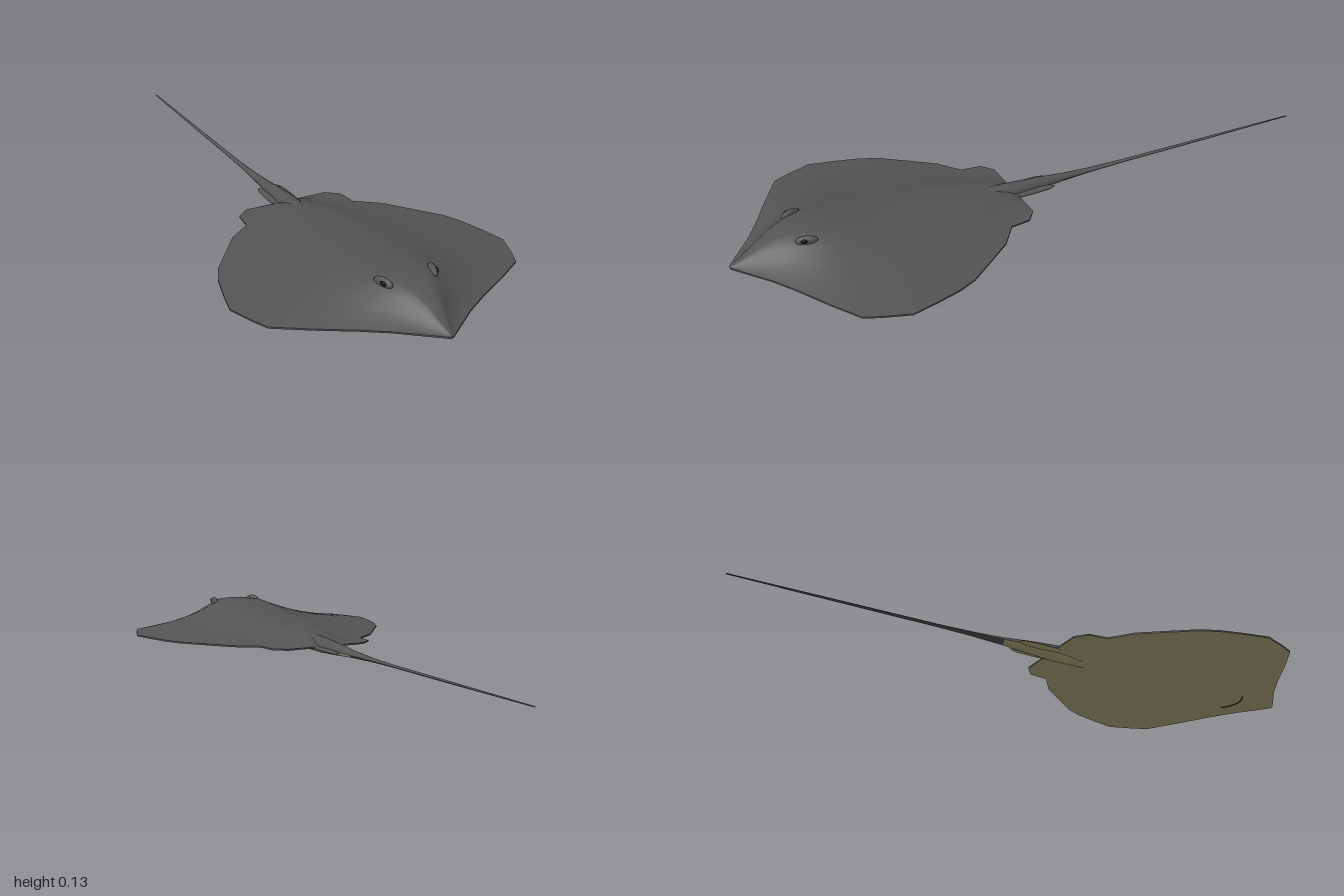
import * as THREE from 'three';

// Stations from nose to rear: [z, half width, top y, bottom y]
const BODY = [
  [1.0, 0.006, 0.041, 0.035], [0.97, 0.045, 0.057, 0.033], [0.91, 0.122, 0.09, 0.027],
  [0.86, 0.2, 0.113, 0.022], [0.8, 0.305, 0.124, 0.015], [0.74, 0.4, 0.124, 0.01],
  [0.69, 0.422, 0.119, 0.005], [0.61, 0.45, 0.108, 0], [0.53, 0.432, 0.101, 0.001],
  [0.45, 0.41, 0.095, 0.004], [0.39, 0.383, 0.09, 0.007], [0.31, 0.322, 0.083, 0.012],
  [0.23, 0.26, 0.076, 0.019], [0.175, 0.187, 0.07, 0.023], [0.11, 0.18, 0.055, 0.028],
  [0.09, 0.155, 0.046, 0.032], [0.078, 0.14, 0.04, 0.036],
];
const TAIL = [
  [0.26, 0.026, 0.074, 0.017], [0.1, 0.032, 0.067, 0.016], [0, 0.024, 0.06, 0.021],
  [-0.1, 0.016, 0.05, 0.027], [-0.2, 0.011, 0.044, 0.031], [-0.33, 0.008, 0.041, 0.033],
  [-0.6, 0.006, 0.04, 0.033], [-1, 0.003, 0.038, 0.035],
];
const CLASPER = [
  [0.1, 0.013, 0.041, 0.03], [0.03, 0.014, 0.042, 0.029], [-0.025, 0.013, 0.041, 0.03],
  [-0.045, 0.009, 0.039, 0.032], [-0.055, 0.001, 0.037, 0.035],
];

// Height profiles across the width, as [u, fraction of full height]
const DOME = [[0, 1], [0.12, 0.99], [0.21, 0.94], [0.3, 0.76], [0.45, 0.49], [0.6, 0.29], [0.8, 0.11], [1, 0]];
const KEEL = [[0, 1], [0.11, 0.94], [0.22, 0.8], [0.44, 0.53], [0.67, 0.28], [0.85, 0.1], [1, 0]];
const ROUND = [0, 0.35, 0.65, 0.88, 1].map((u) => [u, Math.sqrt(1 - u * u)]);

// One skin lofted over the stations, either the upper or the lower half
function skin(stations, profile, upper, rim, cx = 0) {
  const across = [...profile.slice(1).reverse().map(([u, f]) => [-u, f]), ...profile];
  const n = across.length, pos = [], idx = [];
  stations.forEach(([z, w, top, bottom], i) => {
    for (const [u, f] of across) pos.push(cx + u * w, rim + ((upper ? top : bottom) - rim) * f, z);
    if (i === 0) return;
    for (let j = 0; j < n - 1; j++) {
      const a = (i - 1) * n + j, b = a + 1, c = a + n, d = c + 1;
      if (upper) idx.push(a, b, c, b, d, c);
      else idx.push(a, c, b, b, c, d);
    }
  });
  return surface(pos, idx);
}

// Thin band closing the edge between upper and lower skins
function rimBand(stations, yTop, yBottom) {
  const outline = [
    ...stations.map(([z, w]) => [w, z]),
    ...[...stations].reverse().map(([z, w]) => [-w, z]),
  ];
  const pos = [], idx = [];
  outline.forEach(([x, z], i) => {
    pos.push(x, yTop, z, x, yBottom, z);
    const a = i * 2, c = ((i + 1) % outline.length) * 2;
    idx.push(a, a + 1, c, c, a + 1, c + 1);
  });
  return surface(pos, idx);
}

function surface(pos, idx) {
  const g = new THREE.BufferGeometry();
  g.setAttribute('position', new THREE.Float32BufferAttribute(pos, 3));
  g.setIndex(idx);
  g.computeVertexNormals();
  return g;
}

export function createModel() {
  const group = new THREE.Group();
  const mat = (name, color, side = THREE.FrontSide) => {
    const m = new THREE.MeshStandardMaterial({ color, side });
    m.name = name;
    return m;
  };
  const back = mat('slate grey skin', 0x545454, THREE.DoubleSide);
  const belly = mat('pale olive belly', 0xb8b483, THREE.DoubleSide);
  const dark = mat('black detail', 0x101010);
  const add = (name, geometry, material, parent = group) => {
    const m = new THREE.Mesh(geometry, material);
    m.name = name;
    parent.add(m);
    return m;
  };

  // Disc with pelvic fins
  add('discBack', skin(BODY, DOME, true, 0.041), back);
  add('discBelly', skin(BODY, KEEL, false, 0.036), belly);
  add('discRim', rimBand(BODY, 0.041, 0.036), back);

  // Whip tail, pale underneath only near its root
  add('tailTop', skin(TAIL, ROUND, true, 0.037), back);
  add('tailRootUnderside', skin(TAIL.slice(0, 4), ROUND, false, 0.037), belly);
  add('tailTipUnderside', skin(TAIL.slice(3), ROUND, false, 0.037), back);

  for (const s of [1, -1]) {
    const side = s > 0 ? 'left' : 'right';

    // Flat lobes beside the tail root
    add(side + 'ClasperTop', skin(CLASPER, ROUND, true, 0.036, s * 0.031), back);
    add(side + 'ClasperUnderside', skin(CLASPER, ROUND, false, 0.036, s * 0.031), belly);

    // Low eye ridge with a dark pupil facing outward
    const eye = new THREE.Group();
    eye.name = side + 'Eye';
    eye.position.set(s * 0.078, 0.114, 0.785);
    eye.rotation.y = -s * 0.3;
    group.add(eye);
    add('eyeRidge', new THREE.SphereGeometry(1, 12, 8).scale(0.012, 0.016, 0.034), back, eye);
    const pupil = add('pupil', new THREE.SphereGeometry(1, 10, 6).scale(0.004, 0.007, 0.011), dark, eye);
    pupil.position.set(s * 0.0105, 0.004, 0.008);
  }

  // Fine curved mouth line under the snout
  const mouth = new THREE.QuadraticBezierCurve3(
    new THREE.Vector3(-0.06, 0.021, 0.82),
    new THREE.Vector3(0, 0.0185, 0.865),
    new THREE.Vector3(0.06, 0.021, 0.82),
  );
  add('mouth', new THREE.TubeGeometry(mouth, 12, 0.002, 5), dark);

  return group;
}
